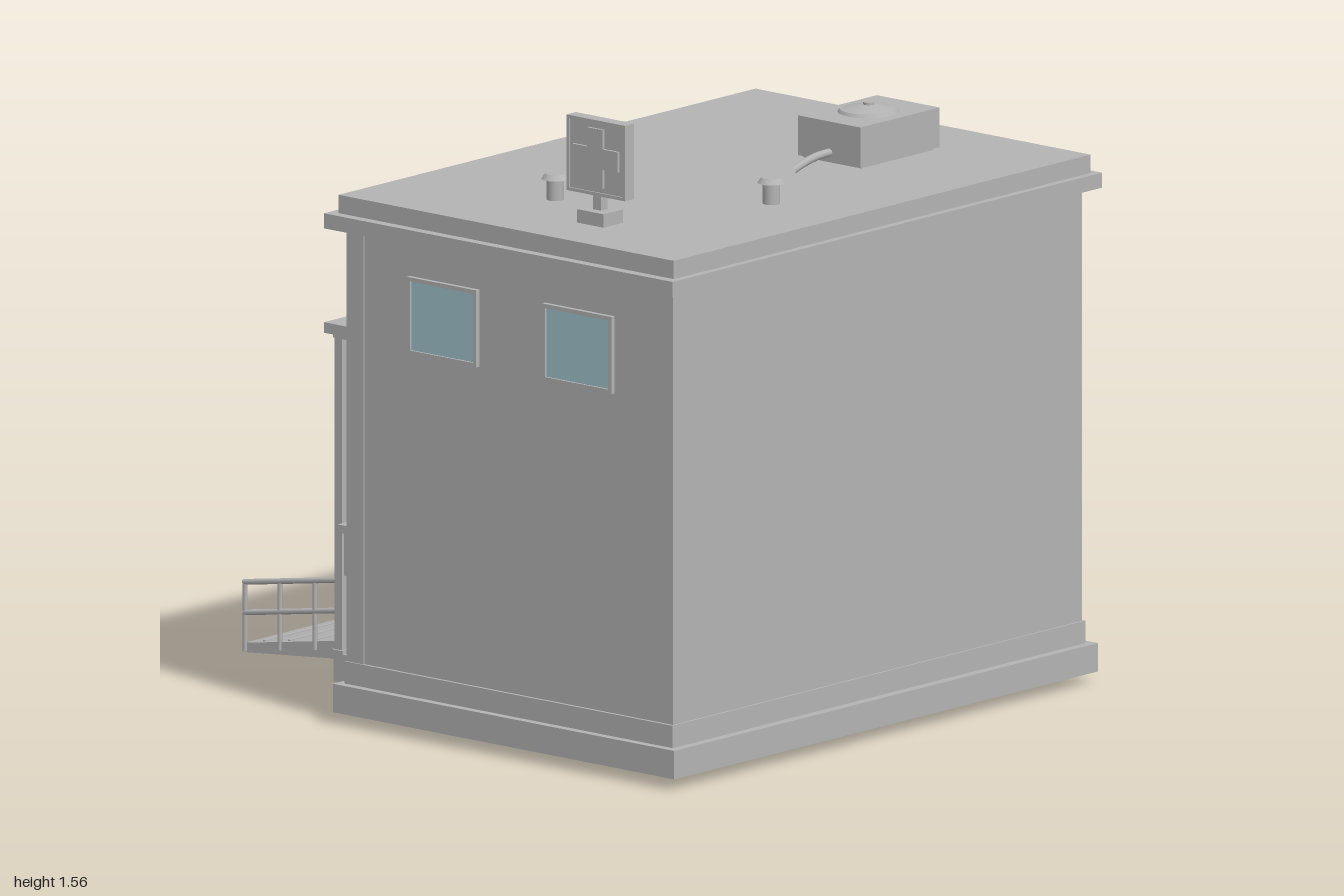
import * as THREE from 'three';

const mat = (name, color, side = THREE.FrontSide) => {
  const m = new THREE.MeshStandardMaterial({ color, side });
  m.name = name;
  return m;
};

export function createModel() {
  const root = new THREE.Group();
  root.name = 'clinic';
  const grey = mat('plainGrey', 0xb3b3b3);
  const glass = mat('paleGlass', 0xa2c4ce);
  const navy = mat('navyGlass', 0x2f4c6c);

  const add = (name, geo, parent = root, m = grey) => {
    const mesh = new THREE.Mesh(geo, m);
    mesh.name = name;
    parent.add(mesh);
    return mesh;
  };
  // box given by its extents on each axis
  const box = (name, x0, x1, y0, y1, z0, z1, parent = root, m = grey) => {
    const b = add(name, new THREE.BoxGeometry(x1 - x0, y1 - y0, z1 - z0), parent, m);
    b.position.set((x0 + x1) / 2, (y0 + y1) / 2, (z0 + z1) / 2);
    return b;
  };
  const cyl = (name, x, y0, y1, z, r0, r1 = r0, parent = root) => {
    const c = add(name, new THREE.CylinderGeometry(r1, r0, y1 - y0, 24), parent);
    c.position.set(x, (y0 + y1) / 2, z);
    return c;
  };
  // round bar between two points
  const bar = (name, a, b, r = 0.006) => {
    const p = new THREE.Vector3(...a), q = new THREE.Vector3(...b);
    const c = add(name, new THREE.CylinderGeometry(r, r, p.distanceTo(q), 8));
    c.position.copy(p).add(q).multiplyScalar(0.5);
    c.quaternion.setFromUnitVectors(new THREE.Vector3(0, 1, 0), q.sub(p).normalize());
  };
  // group whose local +z points out of a wall
  const mount = (name, x, y, z, turn, parent = root) => {
    const g = new THREE.Group();
    g.name = name;
    g.position.set(x, y, z);
    g.rotation.y = turn;
    parent.add(g);
    return g;
  };
  const rect = (C, w, h) => new C([[-w, -h], [w, -h], [w, h], [-w, h]].map(([x, y]) => new THREE.Vector2(x / 2, y / 2)));
  const extrude = (shape, depth) => new THREE.ExtrudeGeometry(shape, { depth, bevelEnabled: false });
  const frame = (g, w, h, t, depth) => {
    const s = rect(THREE.Shape, w, h);
    s.holes.push(rect(THREE.Path, w - 2 * t, h - 2 * t));
    add('frame', extrude(s, depth), g);
  };
  const cross = (name, size, arm, depth, parent) => {
    const a = size / 2, b = arm / 2;
    const pts = [[-b, -a], [b, -a], [b, -b], [a, -b], [a, b], [b, b], [b, a], [-b, a], [-b, b], [-a, b], [-a, -b], [-b, -b]];
    return add(name, extrude(new THREE.Shape(pts.map(p => new THREE.Vector2(...p))), depth), parent);
  };
  const windowUnit = (name, x, y, z, turn, w, h, depth = 0.012, t = 0.01) => {
    const g = mount(name, x, y, z, turn);
    frame(g, w, h, t, depth);
    box('pane', -w / 2 + t, w / 2 - t, -h / 2 + t, h / 2 - t, 0, 0.006, g, glass);
    return g;
  };

  // building shell
  box('plinth', -0.99, 0.55, 0.03, 0.10, -0.205, 0.886);
  box('baseBand', -0.97, 0.53, 0.10, 0.155, -0.185, 0.863);
  box('walls', -0.962, 0.525, 0.10, 1.23, -0.172, 0.857);
  box('corniceLower', -1, 0.56, 1.22, 1.257, -0.225, 0.89);
  box('corniceUpper', -0.975, 0.54, 1.257, 1.302, -0.2, 0.871);
  for (const [a, b] of [[-0.966, -0.915], [0.478, 0.529]]) box('cornerPilaster', a, b, 0.10, 1.22, -0.182, -0.128);
  box('entrancePanel', -0.62, -0.145, 0.10, 1.22, -0.184, -0.17);
  box('wallBatten', -0.02, -0.005, 0.155, 1.22, -0.18, -0.17);

  // windows
  for (const z of [0.56, 0.128]) {
    windowUnit('sideWindow', 0.525, 1.038, z, Math.PI / 2, 0.222, 0.19);
    windowUnit('sideWindow', -0.962, 1.038, z, -Math.PI / 2, 0.222, 0.19);
  }
  for (const x of [0.265, -0.8]) {
    const w = windowUnit('upperWindow', x, 1.04, -0.172, Math.PI, 0.21, 0.18, 0.02, 0.014);
    box('sill', -0.125, 0.125, -0.113, -0.09, 0, 0.032, w);
  }
  windowUnit('shopWindow', 0.222, 0.575, -0.172, Math.PI, 0.46, 0.57, 0.022, 0.017);

  // double door
  const door = mount('door', -0.383, 0, -0.184, Math.PI);
  for (const s of [-1, 1]) {
    const [a, b] = s < 0 ? [-0.2, -0.004] : [0.004, 0.2];
    box('doorLeaf', a, b, 0.10, 0.84, 0, 0.02, door);
    box('doorBand', a, b, 0.475, 0.483, 0.02, 0.022, door);
    box('doorJamb', s * 0.215 - 0.015, s * 0.215 + 0.015, 0.10, 0.87, 0, 0.032, door);
  }
  box('doorHead', -0.2, 0.2, 0.84, 0.87, 0, 0.032, door);

  // wall sign over the canopy
  const sign = mount('wallSign', -0.383, 1.06, -0.184, Math.PI);
  box('signBoard', -0.1, 0.1, -0.11, 0.11, 0, 0.024, sign);
  frame(sign, 0.205, 0.225, 0.01, 0.032);
  cross('signCross', 0.145, 0.05, 0.038, sign);

  // notice and letter box beside the door
  const notice = mount('notice', -0.815, 0.56, -0.172, Math.PI);
  box('noticeBoard', -0.105, 0.105, -0.06, 0.06, 0, 0.015, notice);
  frame(notice, 0.215, 0.125, 0.008, 0.02);
  box('noticeLine', -0.07, 0.07, 0.012, 0.02, 0.015, 0.018, notice);
  for (const x of [-0.045, 0.045]) box('noticeLine', x - 0.025, x + 0.025, -0.024, -0.016, 0.015, 0.018, notice);
  const letter = mount('letterBox', -0.875, 0.415, -0.172, Math.PI);
  box('boxBody', -0.06, 0.06, -0.06, 0.06, 0, 0.045, letter);
  box('boxLid', -0.067, 0.067, 0.045, 0.065, 0, 0.06, letter);
  cross('boxCross', 0.055, 0.018, 0.05, letter);

  // porch and canopy
  box('porch', -0.74, -0.03, 0.03, 0.10, -0.422, -0.2);
  box('canopyTop', -0.755, -0.018, 0.888, 0.914, -0.44, -0.175);
  box('canopyUnder', -0.74, -0.035, 0.876, 0.888, -0.425, -0.175);
  box('canopyFlashing', -0.66, -0.105, 0.914, 0.928, -0.248, -0.175);
  box('canopySoffit', -0.58, -0.19, 0.87, 0.877, -0.35, -0.26);
  for (const x of [-0.728, -0.046]) {
    box('canopyPost', x - 0.012, x + 0.012, 0.10, 0.88, -0.42, -0.395);
    box('postFoot', x - 0.017, x + 0.017, 0.10, 0.11, -0.424, -0.39);
  }
  for (const y of [0.25, 0.175]) bar('porchRail', [-0.046, y, -0.21], [-0.046, y, -0.41]);
  for (const z of [-0.215, -0.31]) bar('porchRailPost', [-0.046, 0.1, z], [-0.046, 0.25, z]);

  // ramp with railings
  const profile = [[0.42, 0.1], [0.42, 0.045], [0.87, 0.002], [0.87, 0.025]].map(p => new THREE.Vector2(...p));
  const ramp = add('ramp', extrude(new THREE.Shape(profile), 0.34));
  ramp.rotation.y = Math.PI / 2;
  ramp.position.x = -0.555;
  const rampY = z => 0.1 - (-z - 0.42) * 0.167;
  for (const x of [-0.555, -0.213]) {
    for (const h of [0.075, 0.15]) bar('rampRail', [x, rampY(-0.428) + h, -0.428], [x, rampY(-0.872) + h, -0.872], 0.007);
    for (const z of [-0.43, -0.535, -0.645, -0.757, -0.868]) bar('rampPost', [x, rampY(z) - 0.02, z], [x, rampY(z) + 0.15, z]);
  }
  for (const z of [-0.5, -0.58, -0.66, -0.74, -0.82]) box('rampTread', -0.54, -0.23, rampY(z) - 0.004, rampY(z) + 0.003, z - 0.004, z + 0.004);

  // roof sign
  box('roofSignBase', -0.82, -0.748, 1.302, 1.335, 0.425, 0.51);
  box('roofSignPost', -0.795, -0.771, 1.335, 1.38, 0.455, 0.48);
  box('roofSignBoard', -0.796, -0.77, 1.372, 1.556, 0.376, 0.56);
  for (const s of [-1, 1]) {
    const face = mount('roofSignFace', -0.783, 1.464, 0.468, s * Math.PI / 2);
    frame(face, 0.186, 0.186, 0.008, 0.017);
    cross('roofSignCross', 0.145, 0.05, 0.02, face);
  }

  // roof cooling unit
  box('coolerFoot', 0.065, 0.325, 1.302, 1.312, 0.37, 0.555);
  box('cooler', 0.053, 0.34, 1.308, 1.406, 0.364, 0.564);
  cyl('coolerFan', 0.196, 1.406, 1.414, 0.464, 0.075, 0.07);
  cyl('coolerFanCone', 0.196, 1.414, 1.424, 0.464, 0.065, 0.015);
  cyl('coolerHub', 0.196, 1.42, 1.43, 0.464, 0.013);
  const hose = new THREE.CatmullRomCurve3([[0.06, 1.33], [0, 1.327], [-0.045, 1.318], [-0.08, 1.308]].map(([x, y]) => new THREE.Vector3(x, y, 0.464)));
  add('coolerHose', new THREE.TubeGeometry(hose, 16, 0.01, 10));

  // roof vents
  for (const [x, z] of [[-0.667, 0.222], [-0.357, 0.64]]) {
    cyl('ventPipe', x, 1.3, 1.358, z, 0.021);
    cyl('ventCap', x, 1.353, 1.366, z, 0.034, 0.024);
  }

  // parked van: rounded cross-sections lofted from nose to tail
  const van = mount('van', 0.853, 0, 0, 0);
  const stations = [ // z, half width, bottom, top
    [-0.208, 0.105, 0.11, 0.235], [-0.202, 0.122, 0.092, 0.262], [-0.185, 0.13, 0.085, 0.282],
    [-0.135, 0.136, 0.082, 0.309], [-0.08, 0.139, 0.082, 0.32], [0.06, 0.14, 0.082, 0.325],
    [0.19, 0.138, 0.082, 0.321], [0.225, 0.132, 0.086, 0.31], [0.24, 0.12, 0.1, 0.295]];
  const n = 40, pos = [], idx = [];
  for (const [z, hw, lo, hi] of stations) for (let i = 0; i < n; i++) {
    const t = i / n * Math.PI * 2, c = Math.cos(t), s = Math.sin(t);
    const round = v => Math.sign(v) * Math.abs(v) ** 0.45;
    pos.push(hw * round(c), (lo + hi) / 2 + (hi - lo) / 2 * round(s), z);
  }
  for (let j = 0; j < stations.length - 1; j++) for (let i = 0; i < n; i++) {
    const a = j * n + i, b = j * n + (i + 1) % n;
    idx.push(a, b, a + n, b, b + n, a + n);
  }
  const last = (stations.length - 1) * n;
  for (let i = 1; i < n - 1; i++) idx.push(0, i + 1, i, last, last + i, last + i + 1);
  const body = new THREE.BufferGeometry();
  body.setAttribute('position', new THREE.Float32BufferAttribute(pos, 3));
  body.setIndex(idx);
  body.computeVertexNormals();
  add('vanBody', body, van);

  // van windscreen, tail door, lights, wheels and trim
  const screen = add('windscreen', new THREE.BoxGeometry(0.192, 0.008, 0.062), van, navy);
  screen.position.set(0, 0.3, -0.164);
  screen.rotation.x = -0.52;
  box('tailDoor', -0.087, 0.087, 0.13, 0.285, 0.236, 0.246, van);
  box('tailHandle', -0.072, -0.062, 0.19, 0.23, 0.246, 0.252, van);
  cross('roofCross', 0.09, 0.028, 0.006, mount('roofCrossMount', 0, 0.323, 0.08, 0, van)).rotation.x = -Math.PI / 2;
  for (const s of [-1, 1]) {
    cyl('beaconBase', s * 0.082, 0.31, 0.33, -0.075, 0.013, 0.013, van);
    cyl('beacon', s * 0.082, 0.328, 0.346, -0.075, 0.017, 0.017, van);
    const side = mount('vanSide', s * 0.138, 0.235, 0.07, s * Math.PI / 2, van);
    cross('sideCross', 0.09, 0.028, 0.006, side);
    box('sideDash', -0.015, 0.015, -0.064, -0.058, 0, 0.005, side);
    box('rubStrip', s * 0.14 - 0.006, s * 0.14 + 0.006, 0.135, 0.152, -0.13, 0.225, van);
    for (const z of [0.145, -0.115]) {
      const wheel = cyl('wheel', s * 0.105, 0.075, 0.115, z, 0.028, 0.028, van);
      wheel.rotation.z = Math.PI / 2;
    }
  }
  return root;
}
